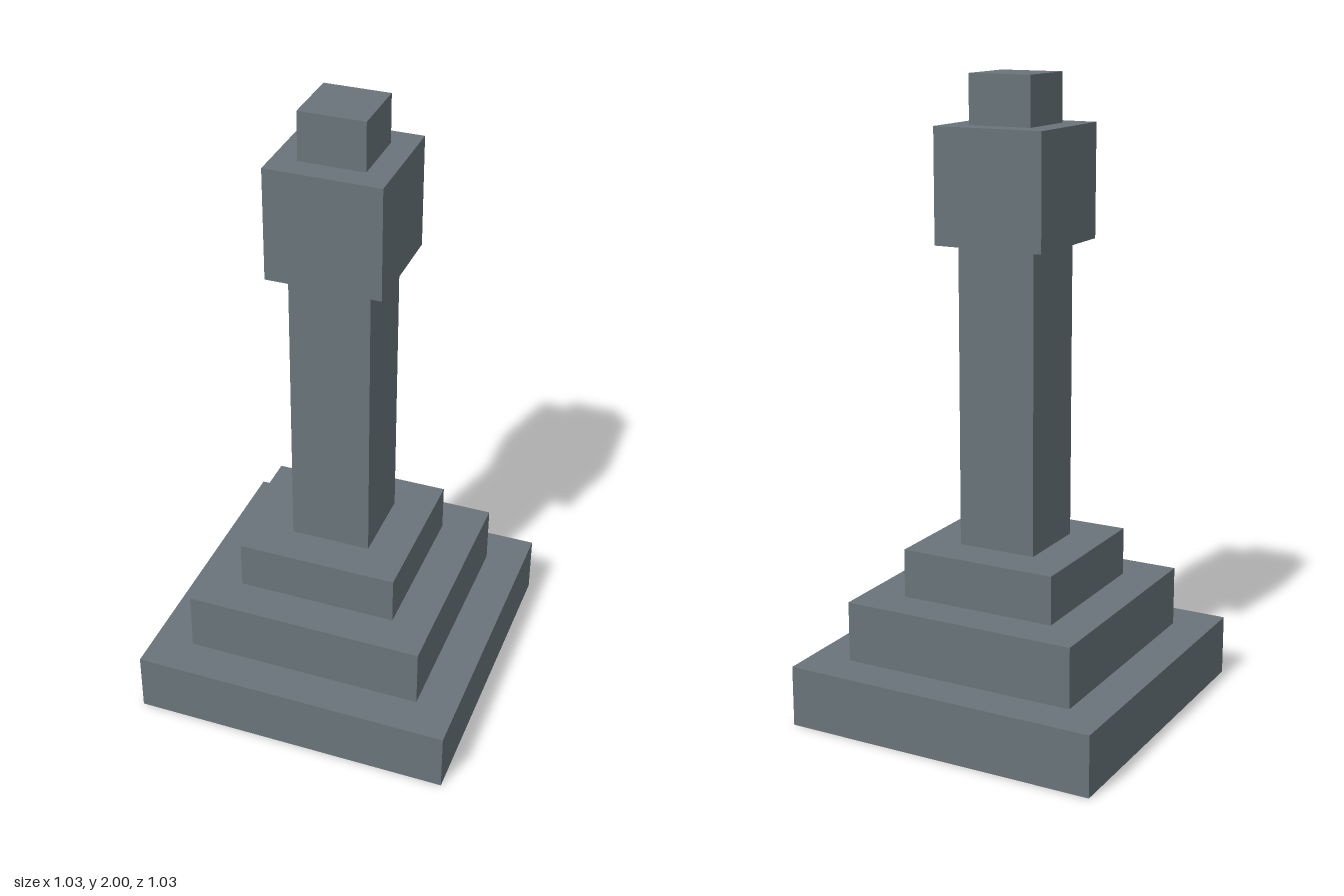
import * as THREE from 'three';

export function createModel() {
  const model = new THREE.Group();
  model.name = 'pillarMonument';

  const stone = new THREE.MeshStandardMaterial({ color: 0x69747a });
  stone.name = 'slateStone';

  // Square blocks stacked from the ground up: name, width, bottom, top
  const blocks = [
    ['lowerStep', 1.026, 0, 0.195],
    ['middleStep', 0.769, 0.195, 0.388],
    ['upperStep', 0.514, 0.388, 0.543],
    ['shaft', 0.256, 0.543, 1.493],
    ['capital', 0.36, 1.493, 1.848],
    ['finial', 0.206, 1.848, 2],
  ];

  for (const [name, width, bottom, top] of blocks) {
    const block = new THREE.Mesh(new THREE.BoxGeometry(width, top - bottom, width), stone);
    block.name = name;
    block.position.y = (bottom + top) / 2;
    model.add(block);
  }

  return model;
}
